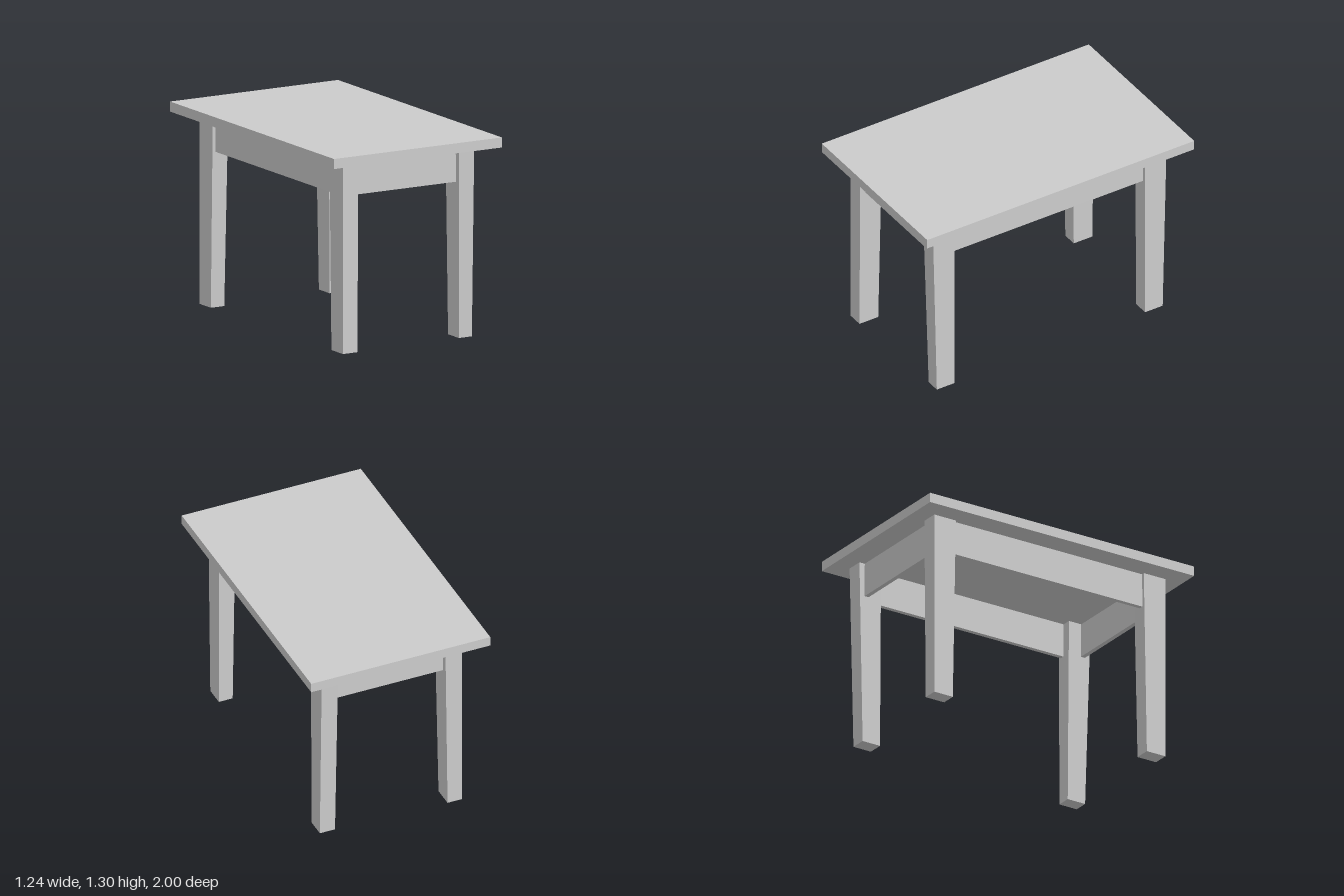
import * as THREE from 'three';

const material = new THREE.MeshStandardMaterial({ color: 0xcccccc, flatShading: true });
const TOP_Y = 1.235, APRON_Y = 1.01;

// Box spanning [min, max] on each axis
function box(name, [x0, x1], [y0, y1], [z0, z1]) {
  const geometry = new THREE.BoxGeometry(x1 - x0, y1 - y0, z1 - z0);
  geometry.translate((x0 + x1) / 2, (y0 + y1) / 2, (z0 + z1) / 2);
  const mesh = new THREE.Mesh(geometry, material);
  mesh.name = name;
  return mesh;
}

// Leg whose foot rectangle differs from its top rectangle
function leg(name, topX, topZ, footX, footZ) {
  const mesh = box(name, topX, [0, TOP_Y], topZ);
  const p = mesh.geometry.attributes.position;
  const midX = (topX[0] + topX[1]) / 2, midZ = (topZ[0] + topZ[1]) / 2;
  for (let i = 0; i < p.count; i++) {
    if (p.getY(i) > 0.5) continue;
    p.setX(i, footX[p.getX(i) > midX ? 1 : 0]);
    p.setZ(i, footZ[p.getZ(i) > midZ ? 1 : 0]);
  }
  mesh.geometry.computeVertexNormals();
  return mesh;
}

export function createModel() {
  const table = new THREE.Group();
  table.name = 'table';

  table.add(box('tabletop', [-0.62, 0.62], [TOP_Y, 1.3], [-1, 1]));

  // Legs: left pair tapers on the outer end face, right pair on the inner one
  for (const s of [1, -1]) {
    const end = s > 0 ? 'front' : 'back';
    const span = (a, b) => (s > 0 ? [a, b] : [-b, -a]);
    const top = span(0.712, 0.875);
    table.add(leg(end + 'LeftLeg', [0.378, 0.491], top, [s > 0 ? 0.395 : 0.386, 0.491], span(0.714, 0.846)));
    table.add(leg(end + 'RightLeg', [-0.479, -0.365], top, [-0.479, s > 0 ? -0.372 : -0.38], span(0.735, 0.875)));

    // End apron, set back from the leg faces
    table.add(box(end + 'Apron', [-0.42, 0.43], [APRON_Y, TOP_Y], span(0.805, 0.835)));
  }

  // Side aprons
  table.add(box('leftApron', [0.44, 0.47], [APRON_Y, TOP_Y], [-0.79, 0.79]));
  table.add(box('rightApron', [-0.458, -0.428], [APRON_Y, TOP_Y], [-0.79, 0.79]));

  return table;
}
